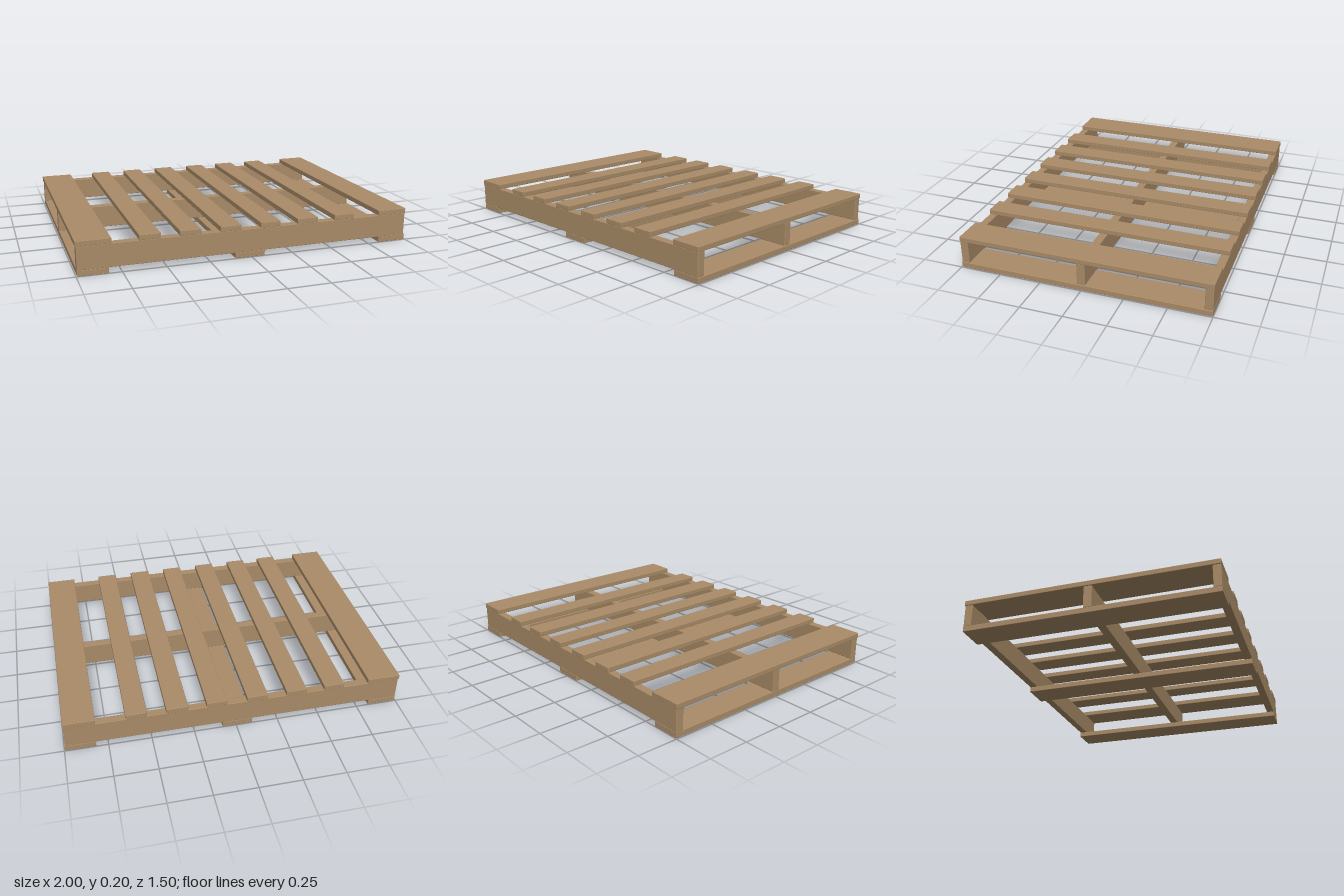
import * as THREE from 'three';
import { RoundedBoxGeometry } from 'three/addons/geometries/RoundedBoxGeometry.js';

export function createModel() {
  const pallet = new THREE.Group();
  pallet.name = 'pallet';
  const wood = new THREE.MeshStandardMaterial({ color: 0xa98b67, flatShading: true });

  // A plank given by its extents, with slightly worn edges
  function plank(name, [x0, x1], [y0, y1], [z0, z1]) {
    const geometry = new RoundedBoxGeometry(x1 - x0, y1 - y0, z1 - z0, 1, 0.003);
    const mesh = new THREE.Mesh(geometry, wood);
    mesh.position.set((x0 + x1) / 2, (y0 + y1) / 2, (z0 + z1) / 2);
    mesh.name = name;
    pallet.add(mesh);
  }

  // Top deck: wide boards at the ends, narrow slats between
  const deck = [
    [-1, -0.803], [-0.652, -0.53], [-0.422, -0.3], [-0.187, -0.063],
    [0.055, 0.175], [0.283, 0.41], [0.52, 0.642], [0.812, 0.993],
  ];
  deck.forEach((x, i) => plank(`deckBoard${i + 1}`, x, [0.17, 0.201], [-0.75, 0.748]));

  // Three upright stringers running the length
  const stringers = { back: [-0.747, -0.7], middle: [-0.022, 0.027], front: [0.7, 0.747] };
  for (const [side, z] of Object.entries(stringers)) {
    plank(`${side}Stringer`, [-0.995, 0.99], [0.036, 0.171], z);
  }

  // Bottom boards across the stringers
  const bottom = [[-0.995, -0.823], [-0.097, 0.081], [0.82, 0.996]];
  bottom.forEach((x, i) => plank(`bottomBoard${i + 1}`, x, [0.003, 0.037], [-0.748, 0.748]));

  return pallet;
}
